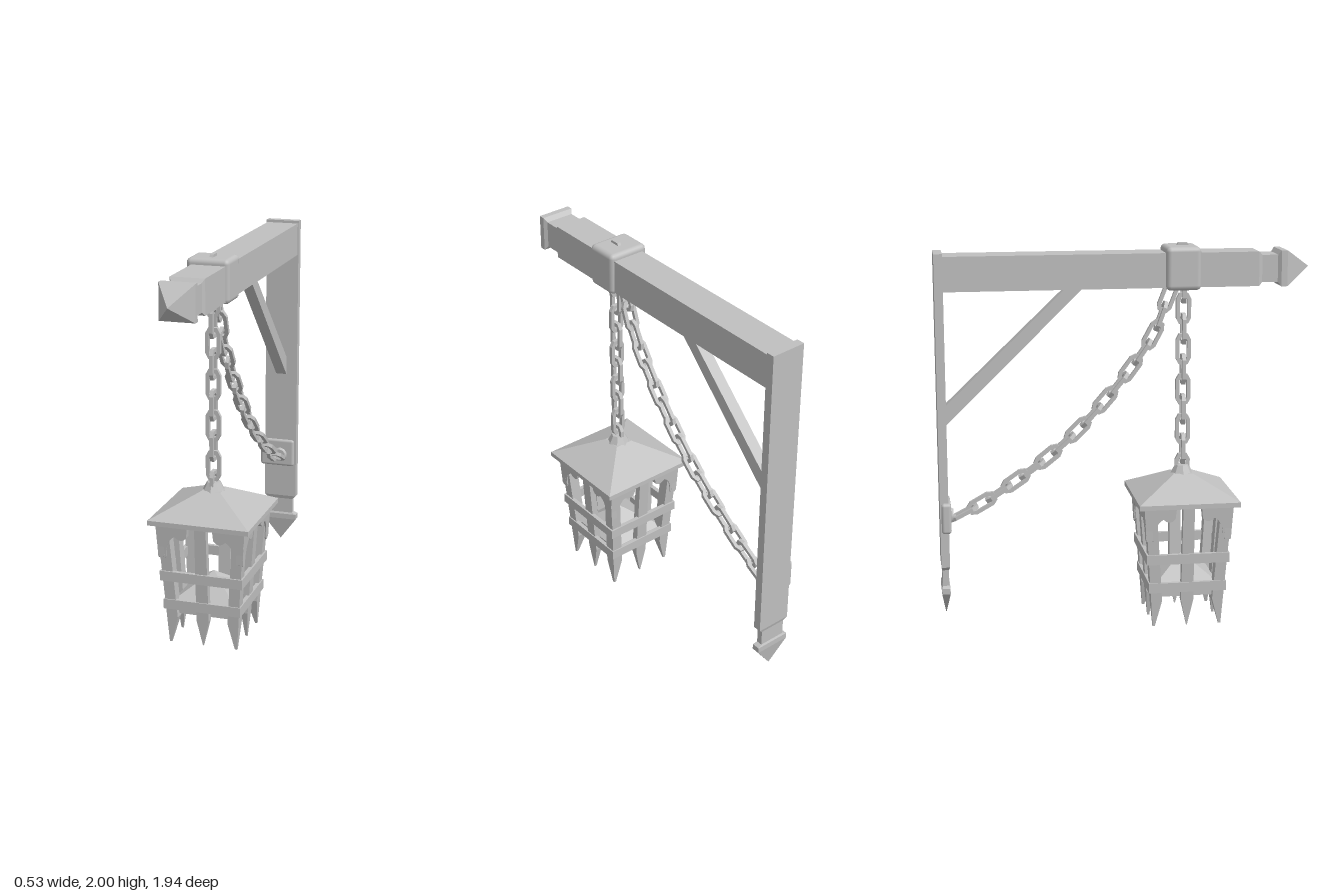
import * as THREE from 'three';
import { RoundedBoxGeometry } from 'three/addons/geometries/RoundedBoxGeometry.js';

const iron = new THREE.MeshStandardMaterial({ color: 0xbfbfbf });
iron.name = 'grey iron';

function add(parent, name, geometry, x = 0, y = 0, z = 0) {
  const mesh = new THREE.Mesh(geometry, iron);
  mesh.name = name;
  mesh.position.set(x, y, z);
  parent.add(mesh);
  return mesh;
}

// Faceted solid through rectangles [y, halfX, halfZ, centreX, centreZ], listed upwards
function loft(sections) {
  const pos = [];
  const rings = sections.map(([y, hx, hz, cx = 0, cz = 0]) => [
    [cx - hx, y, cz - hz], [cx - hx, y, cz + hz], [cx + hx, y, cz + hz], [cx + hx, y, cz - hz]]);
  const quad = (a, b, c, d) => pos.push(...a, ...b, ...c, ...a, ...c, ...d);
  for (let s = 0; s < rings.length - 1; s++) {
    const a = rings[s], b = rings[s + 1];
    for (let i = 0; i < 4; i++) {
      const j = (i + 1) % 4;
      quad(a[i], a[j], b[j], b[i]);
    }
  }
  const [p, q] = [rings[0], rings[rings.length - 1]];
  quad(p[3], p[2], p[1], p[0]);
  quad(q[0], q[1], q[2], q[3]);
  const g = new THREE.BufferGeometry();
  g.setAttribute('position', new THREE.Float32BufferAttribute(pos, 3));
  g.computeVertexNormals();
  return g;
}

// Long octagonal chain link lying in the yz plane, long axis y
function linkGeometry() {
  const outline = (w, h, cw, ch) => [[w - cw, h], [-w + cw, h], [-w, h - ch], [-w, -h + ch],
    [-w + cw, -h], [w - cw, -h], [w, -h + ch], [w, h - ch]].map(([x, y]) => new THREE.Vector2(x, y));
  const shape = new THREE.Shape(outline(0.039, 0.08, 0.016, 0.03));
  shape.holes.push(new THREE.Path(outline(0.02, 0.06, 0.008, 0.015)));
  const g = new THREE.ExtrudeGeometry(shape, { depth: 0.02, bevelEnabled: false });
  return g.translate(0, 0, -0.01).rotateY(Math.PI / 2);
}

function buildSupport(root) {
  // Beam with necked, pyramid-tipped front end
  const beam = loft([[-0.93, 0.0875, 0.0885], [0.69, 0.0875, 0.0885], [0.708, 0.077, 0.07],
    [0.79, 0.077, 0.07], [0.807, 0.09, 0.092], [0.838, 0.09, 0.092], [0.97, 0, 0]]);
  add(root, 'beam', beam.rotateX(Math.PI / 2), 0, 1.867, 0);

  // Flat wall post with the same kind of tip at the bottom
  add(root, 'wallPost', loft([[0.07, 0, 0], [0.2, 0.095, 0.022], [0.23, 0.095, 0.022],
    [0.24, 0.072, 0.016], [0.325, 0.072, 0.016], [0.345, 0.093, 0.022], [1.97, 0.093, 0.022]]), 0, 0, -0.945);

  // Diagonal brace, profile drawn in z and y
  const profile = new THREE.Shape([[-0.205, 1.785], [-0.295, 1.785], [-0.93, 1.18], [-0.93, 1.077]]
    .map(([z, y]) => new THREE.Vector2(-z, y)));
  const brace = new THREE.ExtrudeGeometry(profile, { depth: 0.06, bevelEnabled: false });
  add(root, 'brace', brace.translate(0, 0, -0.03).rotateY(Math.PI / 2));

  add(root, 'beamCollar', new RoundedBoxGeometry(0.222, 0.222, 0.18, 2, 0.025), -0.006, 1.876, 0.295);
  add(root, 'chainPlate', new RoundedBoxGeometry(0.2, 0.16, 0.05, 2, 0.015), -0.018, 0.61, -0.935);
  const socket = add(root, 'chainSocket', new THREE.CylinderGeometry(0.035, 0.045, 0.02, 10), 0, 0.6, -0.905);
  socket.rotation.x = Math.PI / 2;
}

function buildChains(root) {
  const geometry = linkGeometry();
  const chain = new THREE.Group();
  chain.name = 'chains';
  root.add(chain);
  const link = (y, z, tilt, turned) => {
    const m = add(chain, 'chainLink', geometry, 0, y, z);
    m.rotation.set(tilt, turned ? Math.PI / 2 : 0, 0);
  };
  link(1.92, 0.305, 0, false);
  // Straight hanging chain
  for (let i = -1; i < 9; i++) link(1.66 - i * 0.10625, 0.313, 0, i % 2 !== 0);

  // Sagging chain back to the wall post
  const sag = new THREE.CatmullRomCurve3([[1.72, 0.23], [1.53, 0.156], [1.357, 0.04], [1.193, -0.093],
    [1.04, -0.235], [0.902, -0.389], [0.78, -0.558], [0.664, -0.738], [0.612, -0.84]]
    .map(([y, z]) => new THREE.Vector3(0, y, z)));
  for (let i = 0; i < 16; i++) {
    const p = sag.getPointAt(i / 15), t = sag.getTangentAt(i / 15);
    link(p.y, p.z, Math.atan2(-t.z, -t.y), i % 2 === 1);
  }
}

function buildLantern(root) {
  const lantern = new THREE.Group();
  lantern.name = 'lantern';
  lantern.position.z = 0.31;
  root.add(lantern);

  // Pyramid roof and its finial
  add(lantern, 'roof', loft([[0.655, 0.265, 0.265], [0.68, 0.265, 0.265], [0.79, 0.05, 0.05]]));
  const finial = new THREE.CylinderGeometry(0.036, 0.062, 0.05, 8).toNonIndexed();
  finial.computeVertexNormals();
  add(lantern, 'finial', finial, 0, 0.805, 0);

  // Floor with a raised pyramid
  add(lantern, 'floor', loft([[0.155, 0.165, 0.165], [0.225, 0.165, 0.165], [0.345, 0, 0]]));

  // Outer half width of the inward-leaning cage at a height
  const outer = (y) => 0.182 + 0.07 * y;
  const cornerSections = [[0, 0.006], [0.14, 0.029], [0.66, 0.029]].map(([y, h]) => {
    const c = outer(y) - h;
    return [y, h, h, c, c];
  });
  const cornerPost = loft(cornerSections);
  const middlePost = loft([[0, 0.002, 0.006], [0.14, 0.033, 0.018], [0.66, 0.03, 0.018]]
    .map(([y, hx, hz]) => [y, hx, hz, 0, outer(y) - hz]));

  // Scalloped bracket under the eave
  const s = new THREE.Shape();
  s.moveTo(-0.232, 0.66);
  s.lineTo(-0.224, 0.48);
  s.quadraticCurveTo(-0.2, 0.455, -0.182, 0.485);
  s.quadraticCurveTo(-0.182, 0.57, -0.135, 0.595);
  s.quadraticCurveTo(-0.1, 0.56, -0.072, 0.595);
  s.lineTo(-0.065, 0.66);
  const bracket = new THREE.ExtrudeGeometry(s, { depth: 0.035, bevelEnabled: false, curveSegments: 5 });
  // Lean the bracket with the cage wall
  const p = bracket.attributes.position;
  for (let i = 0; i < p.count; i++) p.setZ(i, p.getZ(i) - 0.028 + outer(p.getY(i)));
  bracket.computeVertexNormals();
  const mirrored = bracket.clone().rotateY(Math.PI);
  const q = mirrored.attributes.position;
  for (let i = 0; i < q.count; i++) q.setZ(i, q.getZ(i) + 2 * outer(q.getY(i)) - 0.021);
  mirrored.computeVertexNormals();

  // Four identical sides
  for (let k = 0; k < 4; k++) {
    const side = new THREE.Group();
    side.name = 'lanternSide';
    side.rotation.y = k * Math.PI / 2;
    lantern.add(side);
    add(side, 'cornerPost', cornerPost);
    add(side, 'middlePost', middlePost);
    add(side, 'eaveBracket', bracket);
    add(side, 'eaveBracket', mirrored);
    for (const [y, h] of [[0.373, 0.219], [0.215, 0.205]])
      add(side, 'band', new THREE.BoxGeometry(h * 2, 0.052, 0.022), 0, y, h - 0.011);
  }
}

export function createModel() {
  const root = new THREE.Group();
  root.name = 'hangingLantern';
  buildSupport(root);
  buildChains(root);
  buildLantern(root);
  return root;
}
